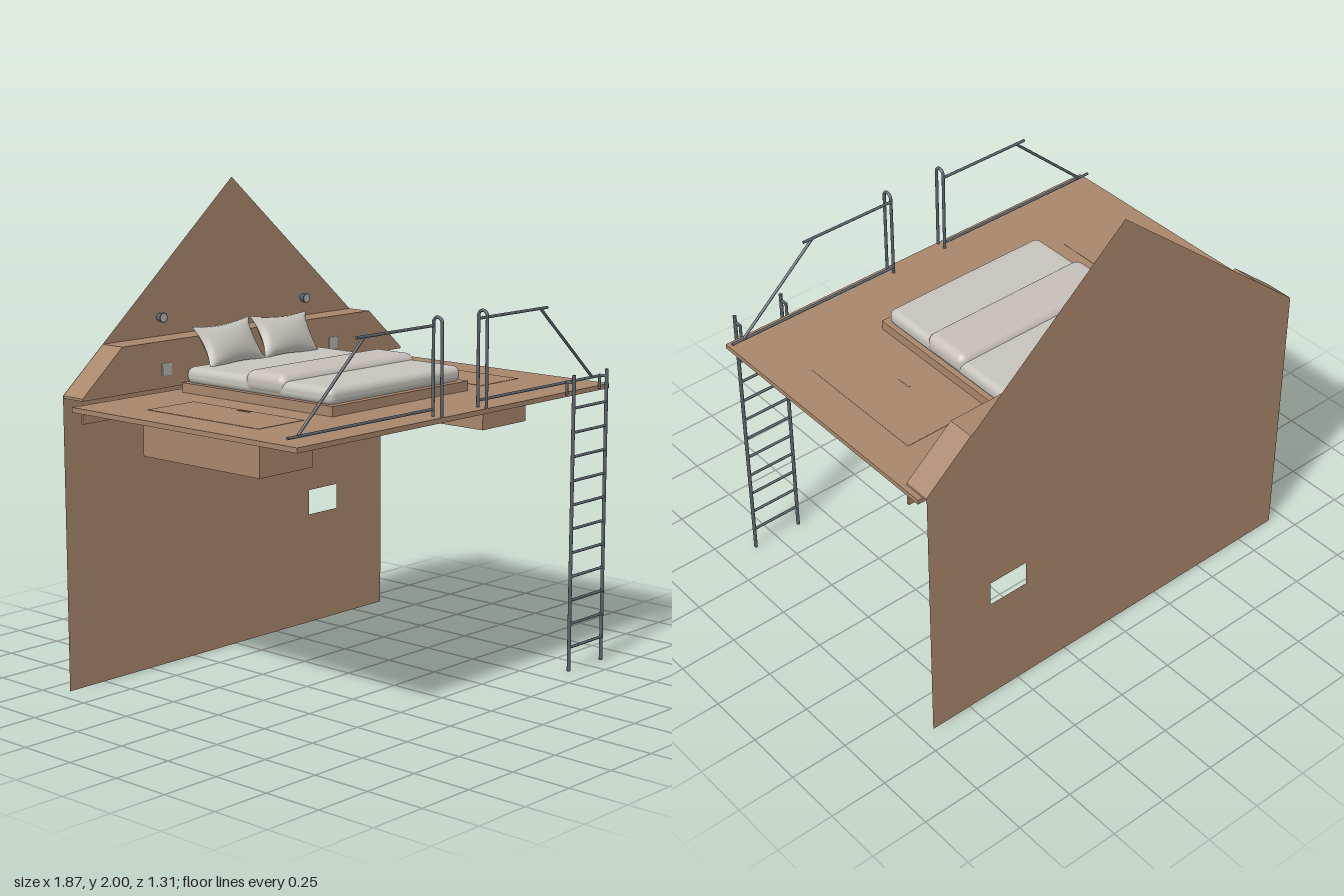
import * as THREE from 'three';
import { mergeGeometries } from 'three/addons/utils/BufferGeometryUtils.js';
import { RoundedBoxGeometry } from 'three/addons/geometries/RoundedBoxGeometry.js';

const mat = (name, color, side = THREE.FrontSide) => {
  const m = new THREE.MeshStandardMaterial({ color, side });
  m.name = name;
  return m;
};

export function createModel() {
  const root = new THREE.Group();
  root.name = 'loftBed';
  const wood = mat('wood', 0xa8866b, THREE.DoubleSide);
  const metal = mat('darkMetal', 0x5a636b);
  const linen = mat('linen', 0xc6c3bb);
  const throwCloth = mat('throwCloth', 0xc6bfba);
  const fixture = mat('fixtureGrey', 0xb4b4b2);

  const add = (name, geo, material, parent = root) => {
    const m = new THREE.Mesh(geo, material);
    m.name = name;
    parent.add(m);
    return m;
  };
  // Box given by its min and max corners
  const box = (name, [x0, y0, z0], [x1, y1, z1], material, parent) => {
    const m = add(name, new THREE.BoxGeometry(x1 - x0, y1 - y0, z1 - z0), material, parent);
    m.position.set((x0 + x1) / 2, (y0 + y1) / 2, (z0 + z1) / 2);
    return m;
  };
  // Straight round bar between two points
  const bar = (name, a, b, r, parent) => {
    const p = new THREE.Vector3(...a), q = new THREE.Vector3(...b);
    const m = add(name, new THREE.CylinderGeometry(r, r, p.distanceTo(q), 12), metal, parent);
    m.position.copy(p).lerp(q, 0.5);
    m.quaternion.setFromUnitVectors(new THREE.Vector3(0, 1, 0), q.sub(p).normalize());
    return m;
  };
  const polygon = (pts) => new THREE.Shape(pts.map(([x, y]) => new THREE.Vector2(x, y)));

  // Gable wall: a thin sheet with a small window opening
  const gable = polygon([[-0.935, 0], [0.935, 0], [0.935, 1.2], [0, 2], [-0.935, 1.2]]);
  gable.holes.push(polygon([[0.46, 0.49], [0.46, 0.6], [0.64, 0.6], [0.64, 0.49]]));
  add('gableWall', new THREE.ShapeGeometry(gable), wood).position.z = -0.656;

  // Headboard ledge, its ends cut to the roof slope
  const ledge = polygon([[-0.935, 1.19], [0.935, 1.19], [0.935, 1.2], [0.725, 1.38], [-0.725, 1.38], [-0.935, 1.2]]);
  add('headboardLedge', new THREE.ExtrudeGeometry(ledge, { depth: 0.114, bevelEnabled: false }), wood)
    .position.z = -0.654;

  // Loft floor and the batten beneath its back edge
  box('loftFloor', [-0.935, 1.14, -0.605], [0.935, 1.16, 0.605], wood);
  box('backBatten', [-0.935, 1.1, -0.55], [0.935, 1.14, -0.54], wood);

  // Bed
  box('bedBase', [-0.405, 1.16, -0.54], [0.405, 1.2, 0.285], wood);
  add('mattress', new RoundedBoxGeometry(0.78, 0.07, 0.805, 5, 0.03), linen).position.set(0, 1.228, -0.137);
  add('bedThrow', new RoundedBoxGeometry(0.795, 0.09, 0.225, 6, 0.04), throwCloth).position.set(0, 1.244, -0.09);

  // Pillow: two puffed sheets with pinched sides and pointed corners
  const pillowSheet = (dir) => {
    const g = new THREE.PlaneGeometry(2, 2, 20, 16);
    const p = g.attributes.position;
    for (let i = 0; i < p.count; i++) {
      const u = p.getX(i), v = p.getY(i), a = 1 - u * u, b = 1 - v * v;
      p.setXYZ(i, dir * 0.165 * u * (1 - 0.14 * b), 0.097 * v * (1 - 0.14 * a), dir * 0.045 * Math.pow(a * b, 0.55));
    }
    g.computeVertexNormals();
    return g;
  };
  const pillowGeo = mergeGeometries([pillowSheet(1), pillowSheet(-1)]);

  for (const s of [-1, 1]) {
    const pillow = add(s > 0 ? 'leftPillow' : 'rightPillow', pillowGeo, linen);
    pillow.position.set(s * 0.165, 1.338, -0.51);
    pillow.rotation.set(-0.52, 0, s * -0.04);

    // Storage box hung under the floor, with a flush lid and pull above
    const storage = new THREE.Group();
    storage.name = 'floorStorage';
    root.add(storage);
    const [a, b] = s > 0 ? [0.51, 0.795] : [-0.795, -0.51];
    box('storageBox', [a, 0.98, -0.35], [b, 1.14, 0.28], wood, storage);
    const [c, d] = s > 0 ? [0.53, 0.775] : [-0.775, -0.53];
    box('storageLid', [c, 1.16, -0.345], [d, 1.1615, 0.255], wood, storage);
    box('lidPull', [s * 0.55 - 0.006, 1.16, -0.075], [s * 0.55 + 0.006, 1.163, -0.012], wood, storage);

    // Wall lamp and socket
    const lamp = add('wallLamp', new THREE.CylinderGeometry(0.016, 0.021, 0.026, 24), metal);
    lamp.rotation.x = -Math.PI / 2;
    lamp.position.set(s * 0.42, 1.457, -0.641);
    const lens = add('lampLens', new THREE.CircleGeometry(0.0165, 24), fixture);
    lens.position.set(s * 0.42, 1.457, -0.627);
    box('wallSocket', [s * 0.49 - 0.025, 1.24, -0.54], [s * 0.49 + 0.025, 1.29, -0.536], fixture);

    // Guard rail: hooped post, top rail, sloping rail and floor rail
    const rail = new THREE.Group();
    rail.name = 'guardRail';
    root.add(rail);
    const x = s * 0.135, R = 0.0215, zc = 0.578;
    bar('postInner', [x, 1.16, zc - R], [x, 1.52, zc - R], 0.0065, rail);
    bar('postOuter', [x, 1.16, zc + R], [x, 1.52, zc + R], 0.0065, rail);
    const hoop = add('postHoop', new THREE.TorusGeometry(R, 0.0065, 10, 20, Math.PI), metal, rail);
    hoop.rotation.y = Math.PI / 2;
    hoop.position.set(x, 1.52, zc);
    bar('topRail', [x, 1.508, zc - R], [s * 0.57, 1.508, zc - R], 0.006, rail);
    bar('slopingRail', [s * 0.525, 1.508, zc - R], [s * 0.88, 1.19, zc - R], 0.006, rail);
    bar('floorRail', [x, 1.187, zc - R], [s * 0.935, 1.187, zc - R], 0.006, rail);
  }

  // Ladder with evenly spaced rungs, hooked to the floor edge
  const ladder = new THREE.Group();
  ladder.name = 'ladder';
  root.add(ladder);
  for (const x of [0.632, 0.855]) {
    bar('ladderStile', [x, 0, 0.65], [x, 1.235, 0.65], 0.0075, ladder);
    bar('ladderHook', [x, 1.205, 0.65], [x, 1.205, 0.615], 0.006, ladder);
    bar('hookDrop', [x, 1.21, 0.615], [x, 1.15, 0.615], 0.006, ladder);
  }
  for (let i = 1; i <= 11; i++) bar('ladderRung', [0.632, i * 0.1, 0.65], [0.855, i * 0.1, 0.65], 0.006, ladder);

  return root;
}
